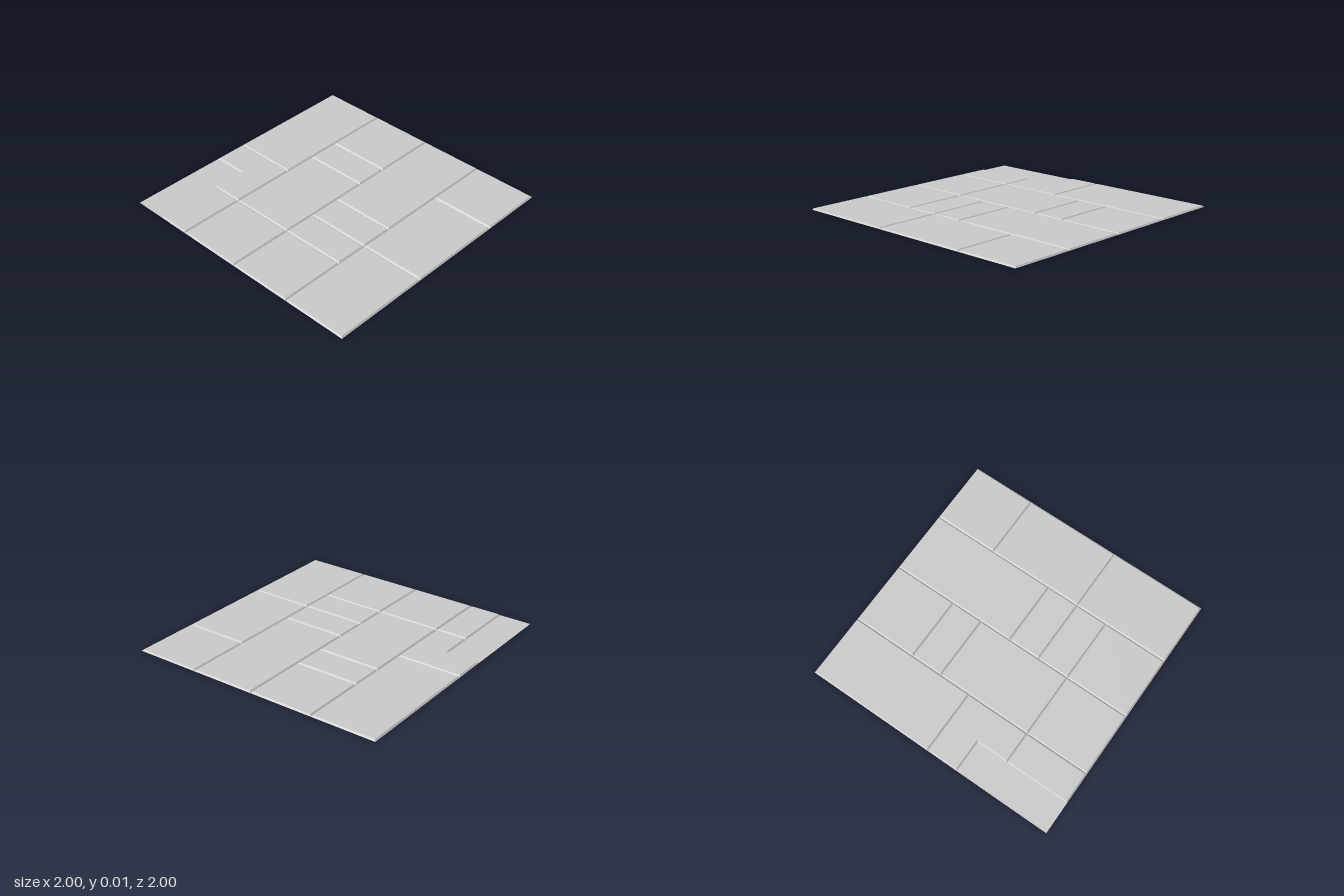
import * as THREE from 'three';
import { mergeGeometries } from 'three/addons/utils/BufferGeometryUtils.js';

const HEIGHT = 0.01;
const BEVEL = 0.011;

// Flat horizontal face from [x, z] corners at height y
function flatFace(corners, y) {
  const shape = new THREE.Shape(corners.map(([x, z]) => new THREE.Vector2(x, -z)));
  const geometry = new THREE.ShapeGeometry(shape).rotateX(-Math.PI / 2).translate(0, y, 0).toNonIndexed();
  geometry.deleteAttribute('uv');
  return geometry;
}

// Corners of a rectangle, counter-clockwise from above
const rect = (x0, z0, x1, z1) => [[x0, z0], [x0, z1], [x1, z1], [x1, z0]];

// Move every corner of a right-angled outline inwards
function inset(corners, d) {
  const n = corners.length;
  const inward = corners.map(([x, z], i) => {
    const [x1, z1] = corners[(i + 1) % n];
    return [Math.sign(z1 - z), -Math.sign(x1 - x)];
  });
  return corners.map(([x, z], i) => {
    const a = inward[(i + n - 1) % n], b = inward[i];
    return [x + d * (a[0] + b[0]), z + d * (a[1] + b[1])];
  });
}

// Slab: flat top with bevelled edges sloping to the ground
function slabGeometry(corners) {
  const top = inset(corners, BEVEL);
  const positions = [];
  corners.forEach(([x, z], i) => {
    const j = (i + 1) % corners.length;
    const a = [x, 0, z], b = [corners[j][0], 0, corners[j][1]];
    const c = [top[j][0], HEIGHT, top[j][1]], d = [top[i][0], HEIGHT, top[i][1]];
    positions.push(...a, ...b, ...c, ...a, ...c, ...d);
  });
  const bevel = new THREE.BufferGeometry();
  bevel.setAttribute('position', new THREE.Float32BufferAttribute(positions, 3));
  bevel.computeVertexNormals();
  return mergeGeometries([flatFace(top, HEIGHT), bevel]);
}

export function createModel() {
  const group = new THREE.Group();
  group.name = 'pavedFloor';
  const material = new THREE.MeshStandardMaterial({ color: 0xcccccc, flatShading: true, side: THREE.DoubleSide });

  const add = (name, geometry) => {
    const mesh = new THREE.Mesh(geometry, material);
    mesh.name = name;
    group.add(mesh);
  };

  // Rows of slabs: back edge, front edge, joints along x
  const rows = [
    { z0: 0.5, z1: 1, joints: [-1, -0.25, 0.5, 1] },
    { z0: 0, z1: 0.5, joints: [-1, -0.5, -0.25, 0, 1] },
    { z0: -0.5, z1: 0, joints: [-1, -0.5, 0.25, 0.5, 1] },
    { z0: -1, z1: -0.5, joints: [0, 1] },
  ];
  rows.forEach(({ z0, z1, joints }, r) => {
    for (let i = 0; i + 1 < joints.length; i++) {
      add(`slabRow${r + 1}No${i + 1}`, slabGeometry(rect(joints[i], z0, joints[i + 1], z1)));
    }
  });

  // Back corner: small slab, L-shaped slab and the sunken bed beside them
  add('smallSlab', slabGeometry(rect(-1, -0.75, -0.5, -0.5)));
  add('cornerSlab', slabGeometry([
    [-0.5, -0.75], [-0.5, -0.5], [0, -0.5], [0, -1], [-0.25, -1], [-0.25, -0.75],
  ]));
  add('sunkenBed', flatFace(rect(-1, -1, -0.25, -0.75), 0));

  return group;
}
